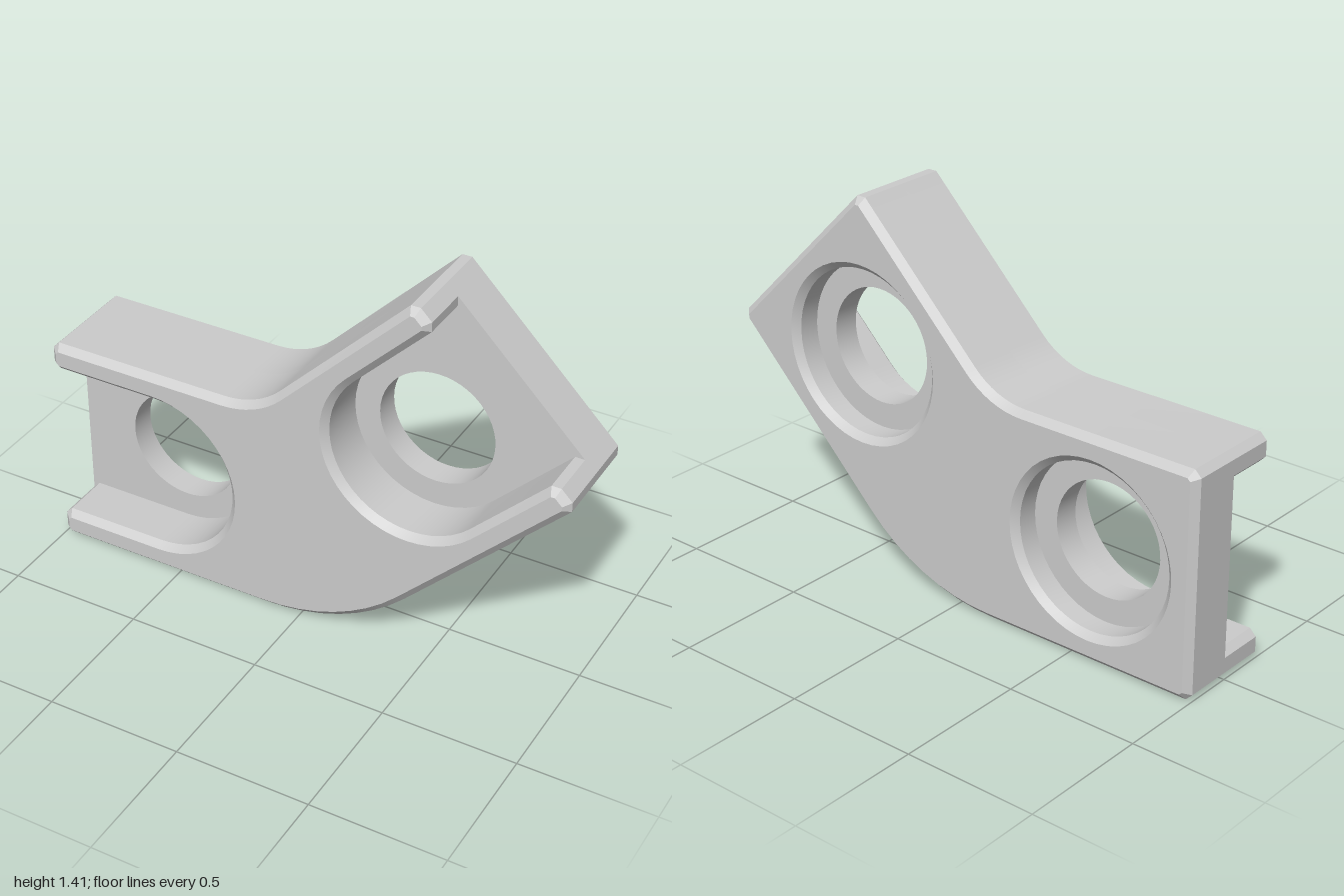
import * as THREE from 'three';
import { toCreasedNormals } from 'three/addons/utils/BufferGeometryUtils.js';

const HALF_W = 0.4175;   // half width of each arm
const POCKET_R = 0.31;   // pocket and counterbore radius
const HOLE_R = 0.215;    // through hole radius
const C = 0.025;         // chamfer size
const Z = 0.205;         // half thickness
const LEDGE_Z = -0.1;    // bottom of the rear counterbore

const V = (x, y) => new THREE.Vector2(x, y);
// Each arm: hole centre and the direction its open end points to
const ARMS = [
  { name: 'right', centre: V(0.425, 0.837), angle: Math.PI / 4 },
  { name: 'left', centre: V(-0.5825, 0.4175), angle: Math.PI },
];

function arc(r, from, to, n) {
  return Array.from({ length: n + 1 }, (_, i) => {
    const t = from + (to - from) * i / n;
    return V(r * Math.cos(t), r * Math.sin(t));
  });
}

function place(points, arm) {
  return points.map(p => p.clone().rotateAround(V(0, 0), arm.angle).add(arm.centre));
}

// U-shaped pocket edge, flared where it meets the arm end
function pocketEdge() {
  return [
    V(HALF_W, -POCKET_R - C), V(HALF_W - C, -POCKET_R),
    ...arc(POCKET_R, -Math.PI / 2, -Math.PI * 1.5, 24),
    V(HALF_W - C, POCKET_R), V(HALF_W, POCKET_R + C),
  ];
}

// Arm end with chamfered corners, optionally cut by the pocket
function armEnd(arm, pocket) {
  return place([
    V(HALF_W - C, -HALF_W), V(HALF_W, -HALF_W + C),
    ...(pocket ? pocketEdge() : []),
    V(HALF_W, HALF_W - C), V(HALF_W - C, HALF_W),
  ], arm);
}

// Whole bent outline, counter-clockwise
function outline(pocket) {
  const rBottom = 0.78, rTop = 0.31, k = Math.tan(Math.PI / 8);
  const bottom = arc(rBottom, -Math.PI / 2, -Math.PI / 4, 8)
    .map(p => p.add(V(0.18 - rBottom * k, rBottom)));
  const top = arc(rTop, -Math.PI / 4, -Math.PI / 2, 8)
    .map(p => p.add(V(-0.166 - rTop * k, 2 * HALF_W + rTop)));
  return [...bottom, ...armEnd(ARMS[0], pocket), ...top, ...armEnd(ARMS[1], pocket)];
}

// Move every edge of a counter-clockwise loop inward by d
function inset(points, d) {
  const n = points.length;
  const normal = (a, b) => V(a.y - b.y, b.x - a.x).normalize();
  return points.map((p, i) => {
    const n1 = normal(points[(i + n - 1) % n], p);
    const n2 = normal(p, points[(i + 1) % n]);
    return p.clone().addScaledVector(n1.clone().add(n2), d / (1 + n1.dot(n2)));
  });
}

// Side faces between stacked loops [points, z], listed with rising z
function skin(out, loops) {
  for (let k = 0; k + 1 < loops.length; k++) {
    const [a, za] = loops[k], [b, zb] = loops[k + 1];
    for (let i = 0; i < a.length; i++) {
      const j = (i + 1) % a.length;
      out.push(
        a[i].x, a[i].y, za, a[j].x, a[j].y, za, b[j].x, b[j].y, zb,
        a[i].x, a[i].y, za, b[j].x, b[j].y, zb, b[i].x, b[i].y, zb);
    }
  }
}

// Flat face with holes, facing +z or -z
function cap(out, contour, holes, z, facing) {
  const all = [contour, ...holes].flat();
  for (const face of THREE.ShapeUtils.triangulateShape(contour, holes)) {
    let [a, b, c] = face.map(i => all[i]);
    const area = (b.x - a.x) * (c.y - a.y) - (b.y - a.y) * (c.x - a.x);
    if (area * facing < 0) [b, c] = [c, b];
    out.push(a.x, a.y, z, b.x, b.y, z, c.x, c.y, z);
  }
}

// Clockwise circle, so its skin faces inward
function circle(arm, r) {
  return place(arc(r, 0, -Math.PI * 2, 48).slice(0, -1), arm);
}

export function createModel() {
  const group = new THREE.Group();
  const material = new THREE.MeshStandardMaterial({ color: 0xcccccc });
  const add = (name, build) => {
    const positions = [];
    build(positions);
    const geometry = new THREE.BufferGeometry();
    geometry.setAttribute('position', new THREE.Float32BufferAttribute(positions, 3));
    const mesh = new THREE.Mesh(toCreasedNormals(geometry, 0.5), material);
    mesh.name = name;
    group.add(mesh);
  };

  // Rear half: bent plate with chamfered back edge and two bore openings
  add('backPlate', out => {
    const full = outline(false), small = inset(full, C);
    skin(out, [[small, -Z], [full, -Z + C], [full, 0]]);
    cap(out, small, ARMS.map(arm => circle(arm, POCKET_R + C)), -Z, -1);
  });

  // Front half: raised walls around the two open pockets
  add('frontWalls', out => {
    const full = outline(true), small = inset(full, C);
    skin(out, [[full, 0], [full, Z - C], [small, Z]]);
    cap(out, small, [], Z, 1);
  });

  for (const arm of ARMS) {
    // Pocket floor around the through hole
    add(arm.name + 'PocketFloor', out => {
      cap(out, place(pocketEdge(), arm), [circle(arm, HOLE_R)], 0, 1);
    });
    // Chamfered rear counterbore, ledge and through hole
    add(arm.name + 'Bore', out => {
      const profile = [[POCKET_R + C, -Z], [POCKET_R, -Z + C], [POCKET_R, LEDGE_Z],
        [HOLE_R, LEDGE_Z], [HOLE_R, 0]];
      skin(out, profile.map(([r, z]) => [circle(arm, r), z]));
    });
  }
  return group;
}
